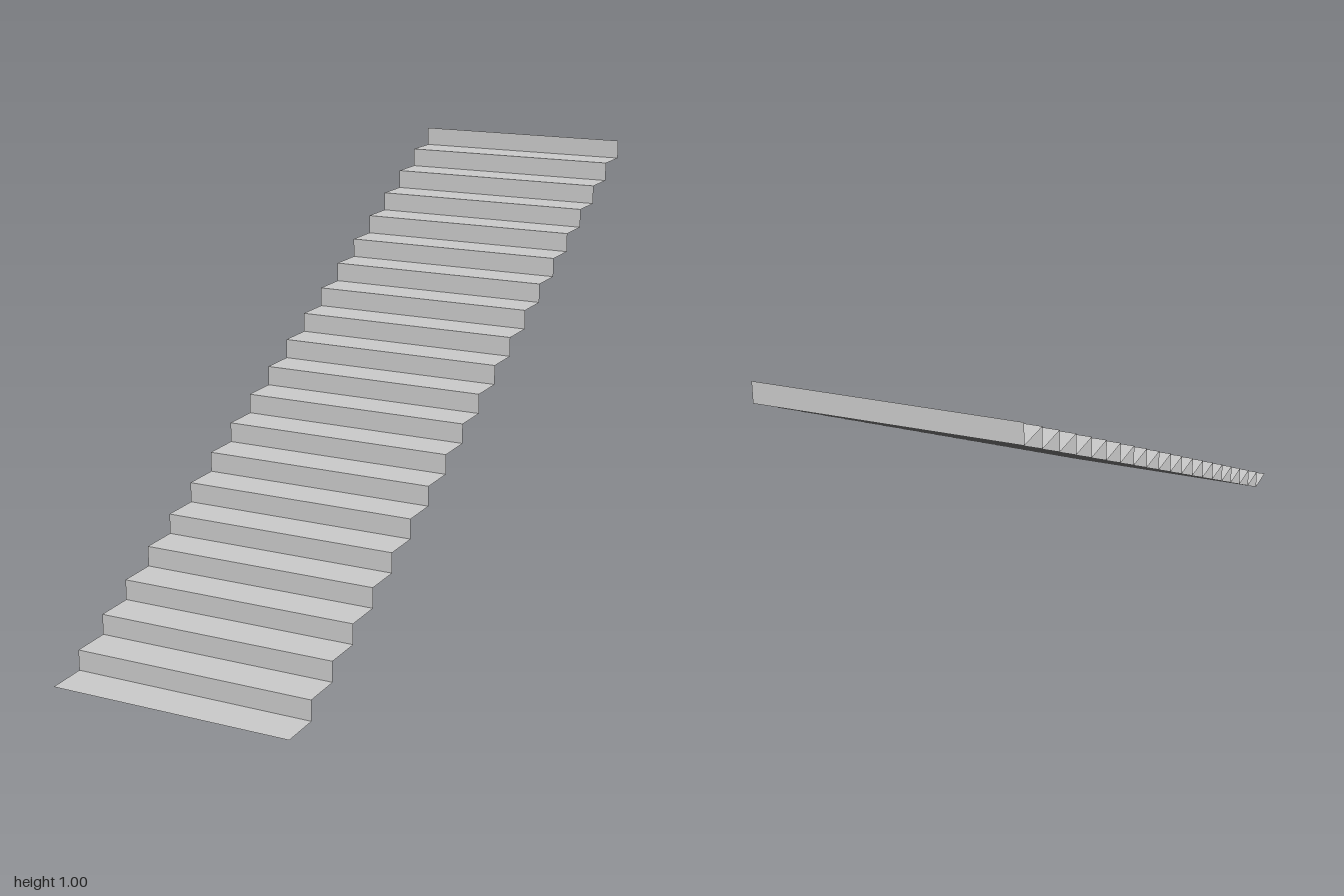
import * as THREE from 'three';

const STEPS = 20, WIDTH = 0.6, DEPTH = 0.1, RISE = 0.05, NOSING = 0.005;

export function createModel() {
  const group = new THREE.Group();
  group.name = 'staircase';
  const material = new THREE.MeshStandardMaterial({
    color: 0xcccccc, side: THREE.DoubleSide, flatShading: true,
  });

  const treadGeometry = new THREE.PlaneGeometry(WIDTH, DEPTH).rotateX(-Math.PI / 2);
  const riserGeometry = new THREE.PlaneGeometry(WIDTH, RISE - NOSING);
  const nosingGeometry = new THREE.PlaneGeometry(WIDTH, NOSING);

  const addPart = (parent, name, geometry, y, z) => {
    const mesh = new THREE.Mesh(geometry, material);
    mesh.name = name;
    mesh.position.set(0, y, z);
    parent.add(mesh);
  };

  // Each step: a flat tread, then a riser at its back edge topped by a narrow nosing band
  for (let i = 0; i < STEPS; i++) {
    const step = new THREE.Group();
    step.name = `step${i + 1}`;
    step.position.set(0, i * RISE, 1 - i * DEPTH);
    addPart(step, 'tread', treadGeometry, 0, -DEPTH / 2);
    addPart(step, 'riser', riserGeometry, (RISE - NOSING) / 2, -DEPTH);
    addPart(step, 'nosing', nosingGeometry, RISE - NOSING / 2, -DEPTH);
    group.add(step);
  }
  return group;
}
